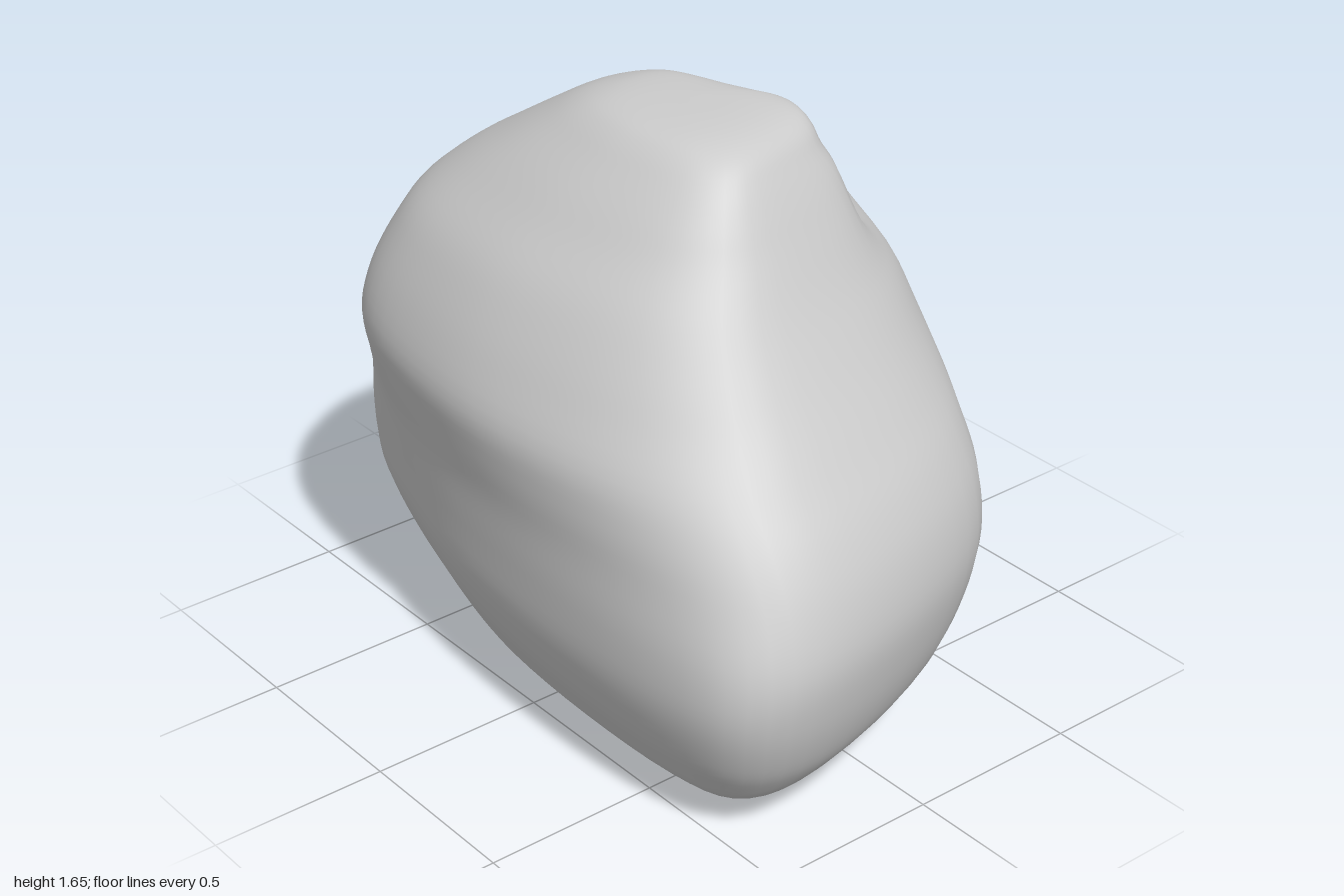
import * as THREE from 'three';

// Height, then the extent of the boulder there: left, right, back, front
const LEVELS = [
  [0.0, -0.16, -0.16, 0.37, 0.37],
  [0.015, -0.3, -0.02, 0.12, 0.57],
  [0.05, -0.41, 0.12, -0.46, 0.7],
  [0.1, -0.51, 0.24, -0.66, 0.82],
  [0.18, -0.56, 0.41, -0.78, 0.895],
  [0.27, -0.6, 0.49, -0.88, 0.945],
  [0.4, -0.635, 0.555, -0.975, 0.985],
  [0.55, -0.645, 0.605, -1.0, 1.0],
  [0.7, -0.65, 0.645, -0.97, 0.965],
  [0.83, -0.667, 0.662, -0.925, 0.9],
  [0.95, -0.675, 0.672, -0.885, 0.81],
  [1.08, -0.635, 0.65, -0.835, 0.71],
  [1.2, -0.58, 0.61, -0.775, 0.625],
  [1.3, -0.52, 0.55, -0.71, 0.56],
  [1.4, -0.435, 0.46, -0.6, 0.5],
  [1.48, -0.365, 0.36, -0.48, 0.455],
  [1.55, -0.295, 0.27, -0.37, 0.41],
  [1.605, -0.235, 0.237, -0.28, 0.36],
  [1.635, -0.18, 0.21, -0.2, 0.29],
  [1.65, -0.09, 0.14, -0.12, 0.18],
  [1.655, 0.02, 0.02, 0.02, 0.02],
];

// Plan outlines in a unit square, from the back round by +x
const outline = (pts) =>
  new THREE.CatmullRomCurve3(pts.map(([x, z]) => new THREE.Vector3(x, 0, z)), true, 'catmullrom', 0.5);
const BASE = outline([
  [-0.3, -1], [0.08, -0.92], [0.54, -0.69], [0.85, -0.45], [1, -0.14], [0.99, 0.17],
  [0.92, 0.47], [0.71, 0.75], [0.2, 0.91], [-0.45, 1], [-0.84, 0.94], [-0.98, 0.7],
  [-1, 0.25], [-0.94, -0.2], [-0.8, -0.56], [-0.61, -0.86],
]);
const MIDDLE = outline([
  [-0.25, -1], [0.17, -0.96], [0.6, -0.83], [0.89, -0.61], [1, -0.27], [0.96, 0.1],
  [0.83, 0.45], [0.57, 0.74], [0.17, 0.92], [-0.4, 1], [-0.71, 0.86], [-0.9, 0.55],
  [-1, 0.05], [-0.96, -0.42], [-0.84, -0.74], [-0.59, -0.94],
]);
const CROWN = outline([
  [-0.2, -1], [0.14, -0.97], [0.4, -0.83], [0.57, -0.52], [0.72, -0.12], [0.88, 0.22],
  [1, 0.5], [0.84, 0.77], [0.3, 0.92], [-0.35, 1], [-0.71, 0.86], [-0.91, 0.55],
  [-1, 0.05], [-0.95, -0.4], [-0.8, -0.72], [-0.52, -0.93],
]);

function boulderGeometry(around = 64, rows = 80) {
  const curve = (f) => new THREE.CatmullRomCurve3(
    LEVELS.map((l) => new THREE.Vector3(...f(l))), false, 'catmullrom', 0.5);
  const xs = curve((l) => [l[1], l[0], l[2]]);
  const zs = curve((l) => [l[3], l[0], l[4]]);
  const pos = [];
  const index = [];
  const p = new THREE.Vector3();
  for (let i = 0; i <= rows; i++) {
    const ex = xs.getPoint(i / rows);
    const ez = zs.getPoint(i / rows);
    const y = Math.max(0, ex.y);
    const middle = THREE.MathUtils.smoothstep(y, 0.42, 1.1);
    const crown = THREE.MathUtils.smoothstep(y, 1.22, 1.64);
    for (let j = 0; j < around; j++) {
      const t = j / around;
      p.copy(BASE.getPoint(t)).lerp(MIDDLE.getPoint(t), middle).lerp(CROWN.getPoint(t), crown);
      let x = THREE.MathUtils.lerp(ex.x, ex.z, (p.x + 1) / 2);
      const z = THREE.MathUtils.lerp(ez.x, ez.z, (p.z + 1) / 2);
      // Pinched hollow under the right edge of the crown
      const hollow = Math.exp(-(((y - 1.38) / 0.13) ** 2) - ((z - 0.22) / 0.16) ** 2);
      x -= 0.11 * hollow * THREE.MathUtils.smoothstep(x, 0.05, 0.4);
      pos.push(x, y, z);
      if (i < rows) {
        const k = (j + 1) % around;
        const a = i * around + j, b = i * around + k;
        index.push(a, a + around, b, b, a + around, b + around);
      }
    }
  }
  const g = new THREE.BufferGeometry();
  g.setAttribute('position', new THREE.Float32BufferAttribute(pos, 3));
  g.setIndex(index);
  g.computeVertexNormals();
  // The end rings shrink to points, so set their normals straight down and up
  const n = g.attributes.normal;
  for (let j = 0; j < around; j++) {
    n.setXYZ(j, 0, -1, 0);
    n.setXYZ(rows * around + j, 0, 1, 0);
  }
  return g;
}

export function createModel() {
  const group = new THREE.Group();
  group.name = 'rock';
  const boulder = new THREE.Mesh(
    boulderGeometry(),
    new THREE.MeshStandardMaterial({ color: 0xcccccc }),
  );
  boulder.name = 'boulder';
  group.add(boulder);
  return group;
}
